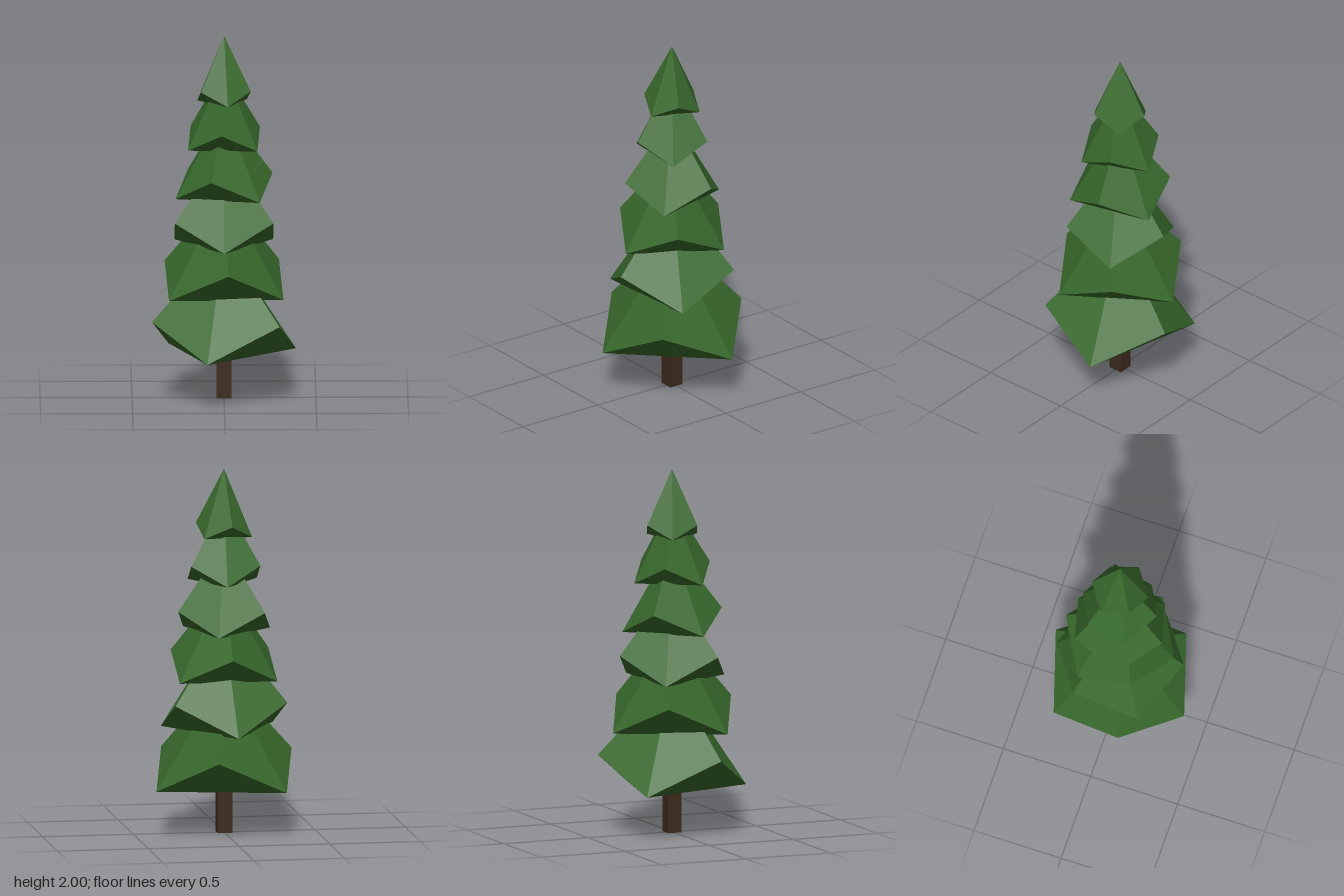
import * as THREE from 'three';

const leafMaterial = new THREE.MeshStandardMaterial({ color: 0x38692c, flatShading: true });
const barkMaterial = new THREE.MeshStandardMaterial({ color: 0x3d2a1c, flatShading: true });

// Six-sided cone whose rim corners alternate high and low, closed underneath.
// turn is the angle in degrees of one high corner, measured from +z towards +x.
function tierGeometry({ radius, low, high, apex, turn }) {
  const points = [];
  for (let i = 0; i < 6; i++) {
    const a = THREE.MathUtils.degToRad(turn + i * 60);
    points.push(new THREE.Vector3(Math.sin(a) * radius, i % 2 ? low : high, Math.cos(a) * radius));
  }
  const tip = new THREE.Vector3(0, apex, 0);
  const corners = [];
  for (let i = 0; i < 6; i++) {
    const next = points[(i + 1) % 6];
    corners.push(points[i], next, tip);
    // sloping underside below each high corner
    if (i % 2 === 0) corners.push(next, points[i], points[(i + 5) % 6]);
  }
  // flat underside between the low corners
  corners.push(points[5], points[3], points[1]);
  const geometry = new THREE.BufferGeometry().setFromPoints(corners);
  geometry.computeVertexNormals();
  return geometry;
}

export function createModel() {
  const tree = new THREE.Group();
  tree.name = 'pineTree';

  // Square trunk, sunk into the lowest tier
  const trunk = new THREE.Mesh(new THREE.BoxGeometry(0.08, 0.32, 0.08), barkMaterial);
  trunk.name = 'trunk';
  trunk.position.y = 0.16;
  tree.add(trunk);

  // Foliage tiers, from the bottom up
  const tiers = [
    { radius: 0.41, low: 0.25, high: 0.437, apex: 0.87, turn: 47 },
    { radius: 0.36, low: 0.567, high: 0.73, apex: 1.14, turn: 3.5 },
    { radius: 0.31, low: 0.847, high: 0.988, apex: 1.37, turn: 60 },
    { radius: 0.274, low: 1.108, high: 1.23, apex: 1.59, turn: -15 },
    { radius: 0.218, low: 1.38, high: 1.48, apex: 1.82, turn: -4 },
    { radius: 0.157, low: 1.63, high: 1.7, apex: 2, turn: 67.5 },
  ];
  tiers.forEach((tier, i) => {
    const mesh = new THREE.Mesh(tierGeometry(tier), leafMaterial);
    mesh.name = `foliageTier${i + 1}`;
    tree.add(mesh);
  });

  return tree;
}
